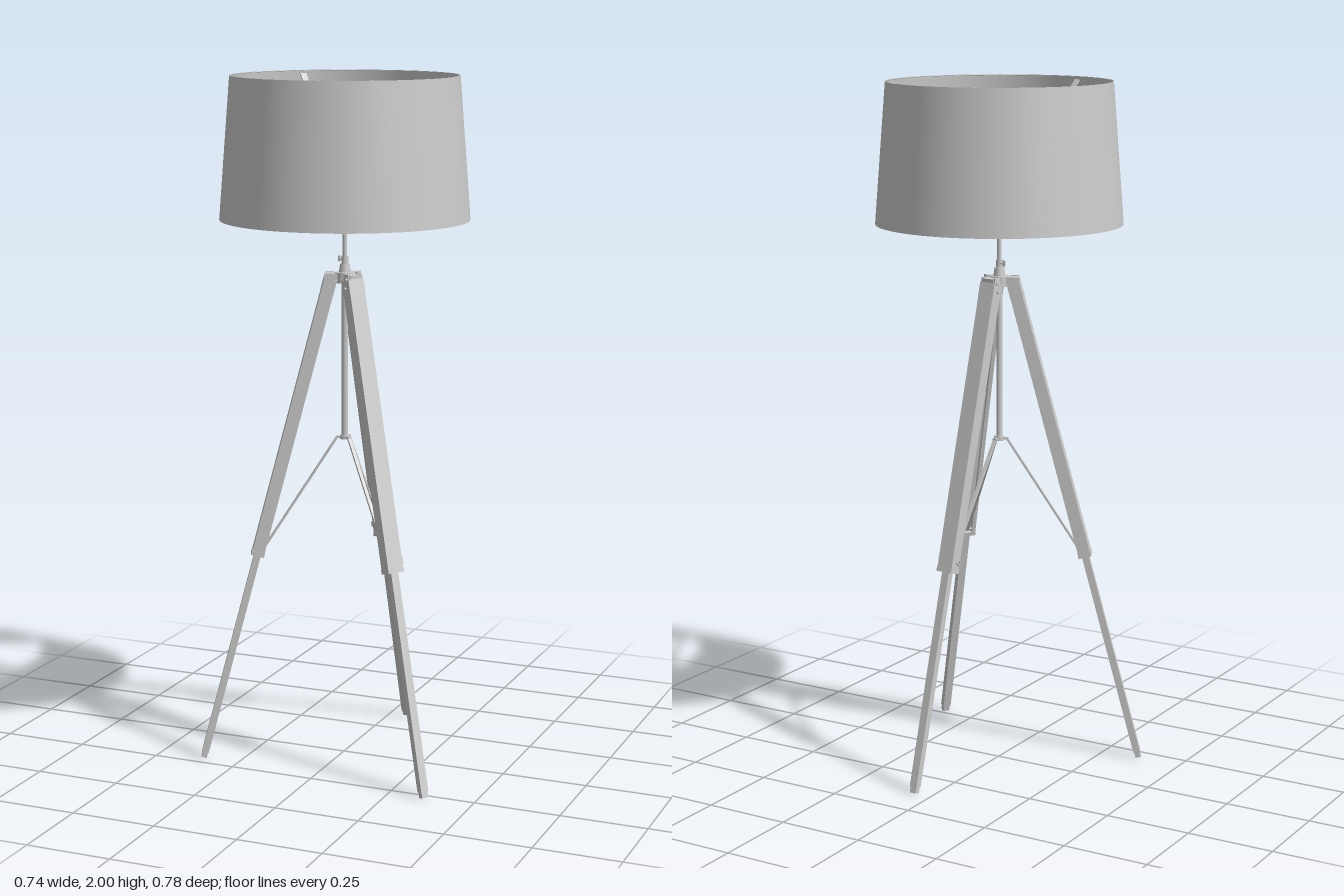
import * as THREE from 'three';

const mat = new THREE.MeshStandardMaterial({ color: 0xcccccc });
const darkMat = new THREE.MeshStandardMaterial({ color: 0x222222 });
const TILT = Math.atan(0.264); // lean of the legs
const K = 1 / Math.cos(TILT); // height to length along a leg

function add(parent, name, geo, x = 0, y = 0, z = 0, material = mat) {
  const m = new THREE.Mesh(geo, material);
  m.name = name;
  m.position.set(x, y, z);
  parent.add(m);
  return m;
}
const box = (w, h, d) => new THREE.BoxGeometry(w, h, d);
const cyl = (rt, rb, h, n = 20) => new THREE.CylinderGeometry(rt, rb, h, n);
const lathe = (pts, n) => new THREE.LatheGeometry(pts.map(p => new THREE.Vector2(...p)), n);

// Flat bar in the radial plane (z, y) between two points
function bar(parent, name, w, t, z0, y0, z1, y1) {
  const m = add(parent, name, box(w, Math.hypot(z1 - z0, y1 - y0), t), 0, (y0 + y1) / 2, (z0 + z1) / 2);
  m.rotation.x = Math.atan2(z1 - z0, y1 - y0);
  return m;
}

// Small screw lying along x: shaft, head and optional wing
function screw(parent, name, x, y, z, dir, wing) {
  const g = new THREE.Group();
  g.name = name;
  g.position.set(x, y, z);
  g.rotation.z = -dir * Math.PI / 2;
  add(g, 'screwShaft', cyl(0.0025, 0.0025, 0.01, 10), 0, 0.004, 0);
  add(g, 'screwHead', cyl(0.005, 0.005, 0.004, 12), 0, 0.007, 0);
  if (wing) add(g, 'screwWing', box(0.016, 0.006, 0.003), 0, 0.011, 0);
  parent.add(g);
}

function makeLeg() {
  const arm = new THREE.Group();
  arm.name = 'legAssembly';

  // Leaning leg: local y runs up the leg, z faces outward
  const leg = new THREE.Group();
  leg.name = 'leg';
  leg.position.z = 0.418;
  leg.rotation.x = -TILT;
  const lo = 0.62 * K, hi = 1.385 * K, len = hi - lo, mid = (hi + lo) / 2;
  add(leg, 'housingFace', box(0.05, len, 0.008), 0, mid, 0.014);
  for (const s of [-1, 1]) {
    add(leg, 'housingRail', box(0.012, len, 0.028), s * 0.019, mid, -0.004);
    screw(leg, 'hingeScrew', s * 0.024, 1.405 * K, 0, s, false);
  }
  add(leg, 'housingCap', box(0.051, 0.045, 0.037), 0, hi + 0.0225, 0);
  add(leg, 'housingBand', box(0.052, 0.012, 0.038), 0, lo + 0.006, 0);
  add(leg, 'slidingLeg', box(0.024, 1.1, 0.02), 0, 0.57, 0);
  add(leg, 'foot', box(0.02, 0.018, 0.016), 0, 0.012, 0);
  screw(leg, 'clampScrew', 0.025, lo + 0.03, 0, 1, true);
  arm.add(leg);

  // Hub bracket and the brace to the centre column
  add(arm, 'hubArm', box(0.036, 0.022, 0.045), 0, 1.432, 0.035);
  for (const s of [-1, 1]) add(arm, 'hubLug', box(0.006, 0.04, 0.024), s * 0.021, 1.425, 0.042);
  const pin = add(arm, 'hubPin', cyl(0.005, 0.005, 0.058, 12), 0, 1.43, 0.047);
  pin.rotation.z = Math.PI / 2;
  bar(arm, 'brace', 0.01, 0.006, 0.022, 0.968, 0.238, 0.635);
  add(arm, 'braceTab', box(0.012, 0.006, 0.024), 0, 0.968, 0.014);
  const bracePin = add(arm, 'bracePin', cyl(0.004, 0.004, 0.034, 10), 0, 0.637, 0.238);
  bracePin.rotation.z = Math.PI / 2;
  return arm;
}

export function createModel() {
  const root = new THREE.Group();
  root.name = 'tripodFloorLamp';
  const lamp = new THREE.Group();
  lamp.name = 'lamp';
  lamp.position.set(0.016, 0, 0.032);
  root.add(lamp);

  // Tripod
  for (let i = 0; i < 3; i++) {
    const leg = makeLeg();
    leg.rotation.y = THREE.MathUtils.degToRad(54.8 + i * 120);
    lamp.add(leg);
  }

  // Centre column, hub and upper rod
  add(lamp, 'column', cyl(0.009, 0.009, 0.46), 0, 1.2, 0);
  add(lamp, 'columnFoot', cyl(0.014, 0.014, 0.012), 0, 0.968, 0);
  add(lamp, 'hub', cyl(0.028, 0.028, 0.03, 28), 0, 1.431, 0);
  add(lamp, 'hubCollar', cyl(0.014, 0.017, 0.024, 24), 0, 1.458, 0);
  add(lamp, 'upperRod', cyl(0.0065, 0.0065, 0.2), 0, 1.555, 0);
  add(lamp, 'rodClamp', cyl(0.01, 0.01, 0.025), 0, 1.48, 0);
  screw(lamp, 'heightScrew', -0.009, 1.483, -0.006, -1, true);

  // Lamp socket and holder
  add(lamp, 'socketCup', lathe([[0, 1.64], [0.012, 1.64], [0.025, 1.652], [0.025, 1.66], [0.019, 1.664], [0.019, 1.69], [0, 1.69]], 28));
  add(lamp, 'socket', cyl(0.017, 0.017, 0.17, 24), 0, 1.775, 0, darkMat);

  // Shade: thin tapered wall
  const shadeMat = mat.clone();
  shadeMat.side = THREE.DoubleSide;
  add(lamp, 'shade', lathe([[0.355, 1.597], [0.323, 2]], 96), 0, 0, 0, shadeMat);
  add(lamp, 'shadeLining', lathe([[0.352, 1.597], [0.32, 2]], 96), 0, 0, 0, shadeMat);
  for (const [r, y] of [[0.32, 1.9985], [0.352, 1.5985]]) {
    const rim = add(lamp, 'shadeRim', new THREE.TorusGeometry(r + 0.0012, 0.0015, 8, 96), 0, y, 0);
    rim.rotation.x = Math.PI / 2;
  }

  // Spokes from the socket up to the top rim
  for (let i = 0; i < 3; i++) {
    const spoke = new THREE.Group();
    spoke.name = 'shadeSpoke';
    spoke.rotation.y = THREE.MathUtils.degToRad(105 + i * 120);
    bar(spoke, 'spokeBar', 0.018, 0.004, 0.018, 1.655, 0.319, 1.99);
    lamp.add(spoke);
  }
  return root;
}
